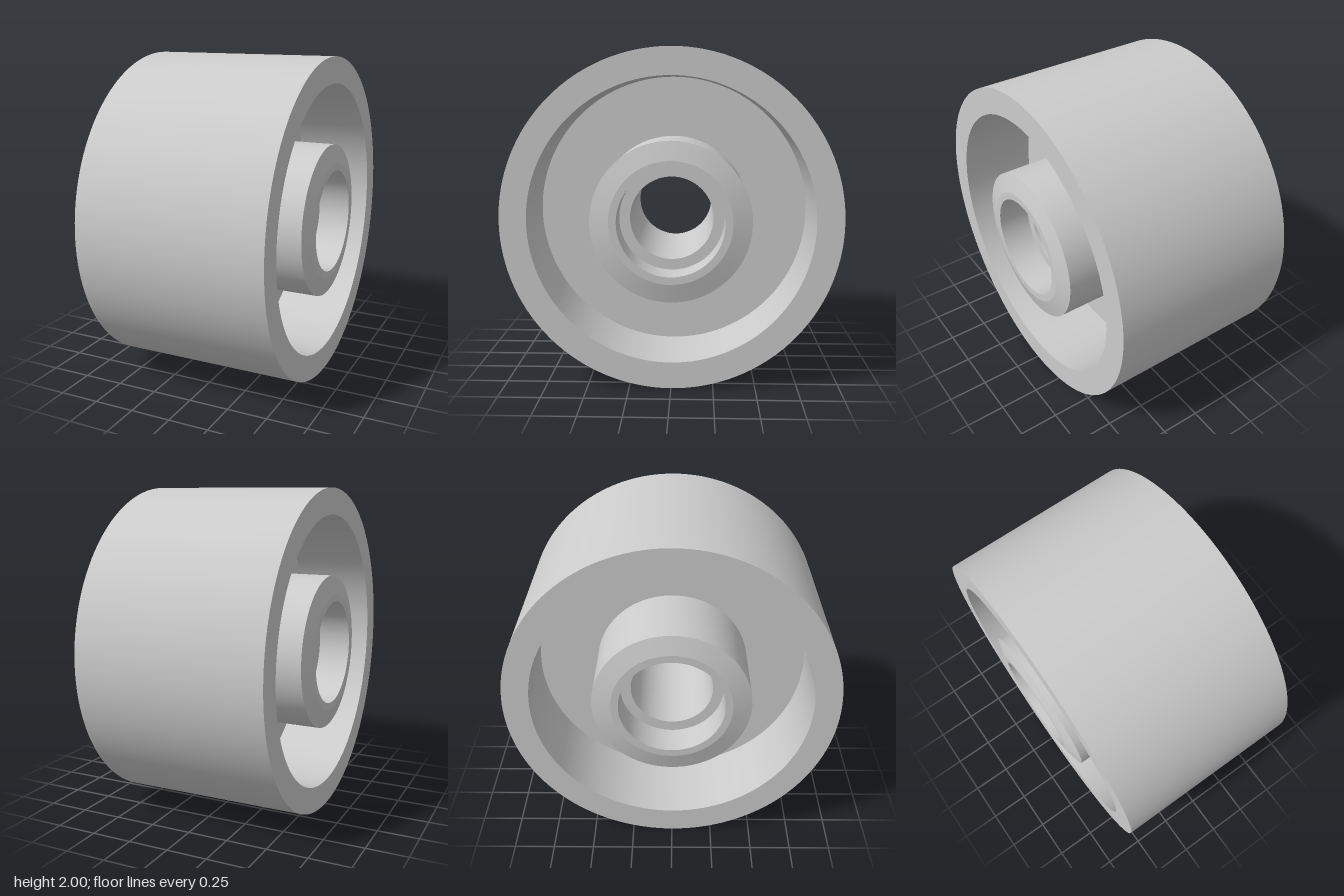
import * as THREE from 'three';
import { toCreasedNormals, mergeGeometries } from 'three/addons/utils/BufferGeometryUtils.js';

const SEGMENTS = 128;
const RIM_R = 1, RIM_INNER = 0.84, RIM_HALF = 0.586;
const WEB_HALF = 0.105;
const HUB_R = 0.473, HUB_HALF = 0.616;
const SEAT_R = 0.315, SEAT_FLOOR = 0.416, BORE_R = 0.25;

// Revolves a [radius, axial] profile around the x axis, keeping its corners sharp
function revolve(profile) {
  const points = profile.map(([r, a]) => new THREE.Vector2(r, a));
  const geometry = new THREE.LatheGeometry(points, SEGMENTS);
  geometry.rotateZ(-Math.PI / 2);
  return toCreasedNormals(geometry, THREE.MathUtils.degToRad(10));
}

// Completes a half profile with its mirror image on the other side of the wheel
function mirrored(half) {
  return [...half, ...half.map(([r, a]) => [r, -a]).reverse()];
}

export function createModel() {
  const group = new THREE.Group();
  group.name = 'wheel';
  const material = new THREE.MeshStandardMaterial({ color: 0xcccccc });

  function add(name, geometry) {
    const mesh = new THREE.Mesh(geometry, material);
    mesh.name = name;
    mesh.position.y = RIM_R;
    group.add(mesh);
  }

  // Broad outer rim, from web to web around the tread
  add('rim', revolve(mirrored([
    [RIM_INNER, -WEB_HALF],
    [RIM_INNER, -RIM_HALF],
    [RIM_R, -RIM_HALF],
  ])));

  // Both faces of the disc joining rim and hub
  add('web', mergeGeometries([
    revolve([[RIM_INNER, WEB_HALF], [HUB_R, WEB_HALF]]),
    revolve([[HUB_R, -WEB_HALF], [RIM_INNER, -WEB_HALF]]),
  ]));

  // Hub with tapered ends, stepped bearing seats and a through bore
  add('hub', revolve(mirrored([
    [HUB_R, WEB_HALF],
    [HUB_R, RIM_HALF],
    [0.36, HUB_HALF],
    [SEAT_R, HUB_HALF],
    [SEAT_R, SEAT_FLOOR],
    [BORE_R, SEAT_FLOOR],
  ])));

  return group;
}
